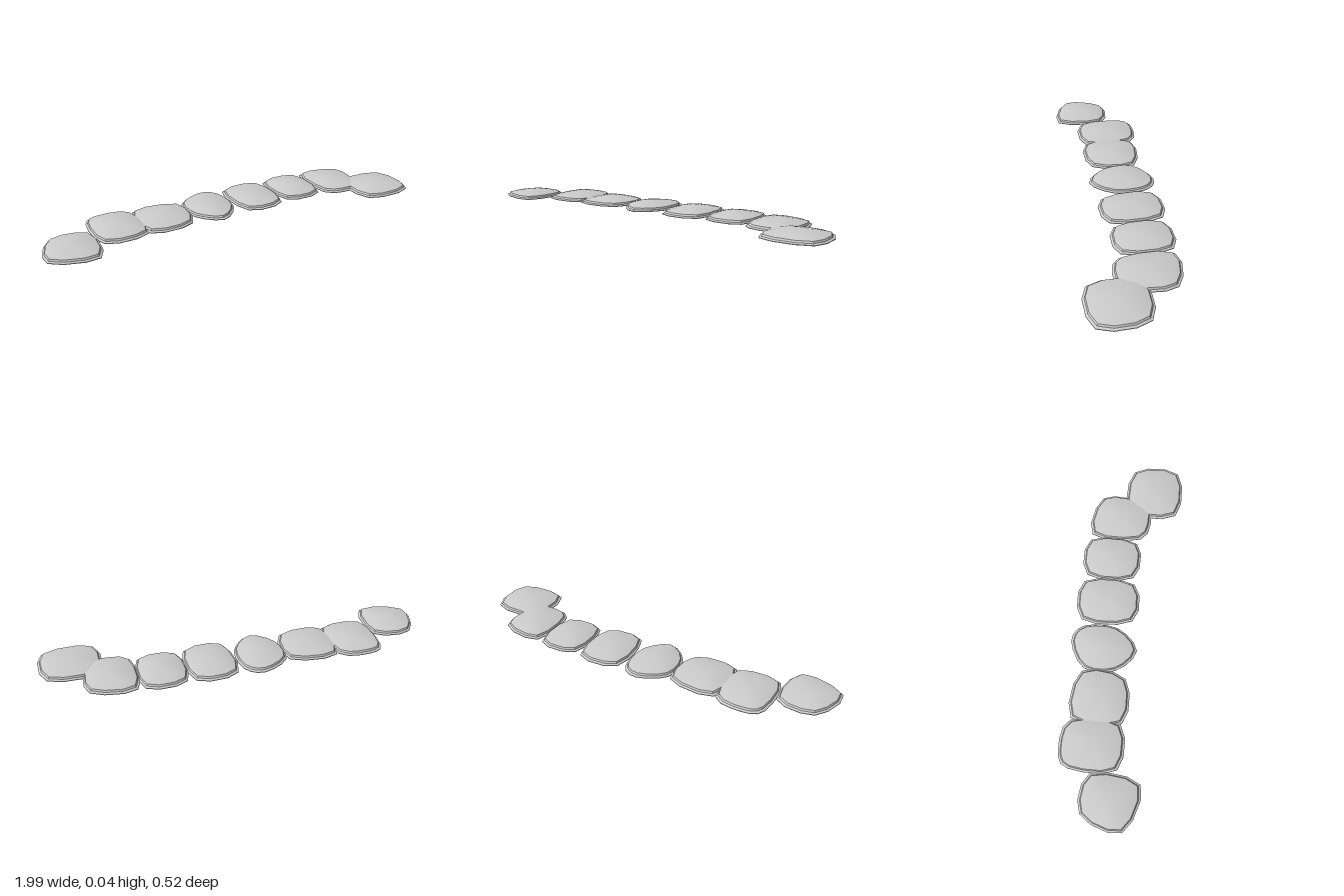
import * as THREE from 'three';
import { toCreasedNormals } from 'three/addons/utils/BufferGeometryUtils.js';

// Corners of each stone on the ground as [x, z], clockwise seen from above
const CORNERS = [
  [[-.92, -.13], [-.725, -.1], [-.76, .15], [-.99, .08]],
  [[-.71, -.21], [-.62, -.265], [-.47, -.22], [-.475, .03], [-.7, .03]],
  [[-.46, -.22], [-.215, -.19], [-.24, .035], [-.47, .035]],
  [[-.06, -.26], [.03, -.2], [.03, -.03], [-.085, .08], [-.2, -.02], [-.2, -.18]],
  [[.065, -.22], [.28, -.225], [.28, .04], [.075, .045]],
  [[.32, -.215], [.525, -.215], [.52, .035], [.32, .03]],
  [[.56, -.21], [.785, -.17], [.78, .04], [.69, .1], [.55, .05]],
  [[.715, -.02], [.965, -.01], [.97, .23], [.71, .23]],
];

// Dome rings above the ledge, as fractions of the dome radius
const DOME = [1, .86, .65, .38, 0];
// All rings: base centre, rim, thin wall, ledge, then dome: [scale, height]
const RINGS = [
  [0, 0], [1, 0], [1, .003], [.93, .008],
  ...DOME.map(r => [.9 * r, .035 - .018 * r * r]),
];

// Bulging outline through the corners, three points per side
function stoneOutline(corners) {
  const points = corners.map(([x, z]) => new THREE.Vector3(x, 0, z));
  const curve = new THREE.CatmullRomCurve3(points, true, 'catmullrom', 0.5);
  const n = corners.length * 3;
  return Array.from({ length: n }, (_, i) => curve.getPoint(i / n));
}

function stoneGeometry(corners) {
  const outline = stoneOutline(corners);
  const n = outline.length;
  const centre = new THREE.Box3().setFromPoints(outline).getCenter(new THREE.Vector3());
  const positions = [], index = [];
  for (const [scale, y] of RINGS) {
    for (const p of outline) {
      const q = centre.clone().lerp(p, scale);
      positions.push(q.x, y, q.z);
    }
  }
  // Bands between rings; those meeting a centre point use one triangle per side
  for (let k = 0; k < RINGS.length - 1; k++) {
    for (let i = 0; i < n; i++) {
      const a = k * n + i, b = k * n + (i + 1) % n, c = a + n, d = b + n;
      if (k > 0) index.push(a, c, b);
      if (k < RINGS.length - 2) index.push(b, c, d);
    }
  }
  const geometry = new THREE.BufferGeometry();
  geometry.setAttribute('position', new THREE.Float32BufferAttribute(positions, 3));
  geometry.setIndex(index);
  return toCreasedNormals(geometry, 0.6);
}

export function createModel() {
  const group = new THREE.Group();
  group.name = 'steppingStonePath';
  const material = new THREE.MeshStandardMaterial({ color: 0xcccccc });
  CORNERS.forEach((corners, i) => {
    const stone = new THREE.Mesh(stoneGeometry(corners), material);
    stone.name = `steppingStone${i + 1}`;
    group.add(stone);
  });
  return group;
}
